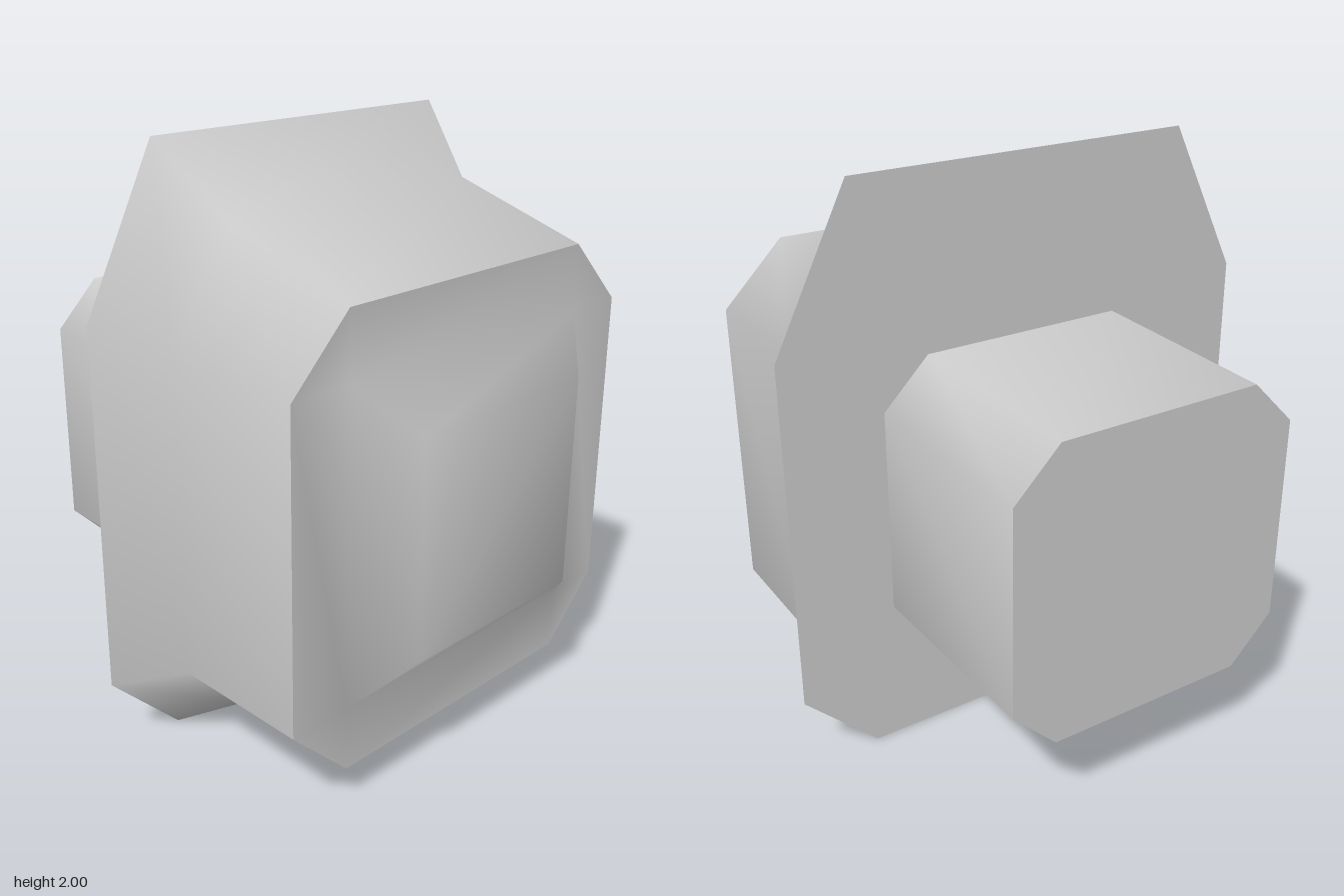
import * as THREE from 'three';
import { mergeVertices } from 'three/addons/utils/BufferGeometryUtils.js';

const MID = 0.88; // height of the shared axis

// Eight-sided ring across the x axis, counter-clockwise seen from +x.
// zIn/zOut: half widths of the flat and of the whole; y0 < y1 < y2 < y3: heights.
function ring(x, zIn, zOut, y0, y1, y2, y3) {
  return [
    [x, y3, -zIn], [x, y3, zIn], [x, y2, zOut], [x, y1, zOut],
    [x, y0, zIn], [x, y0, -zIn], [x, y1, -zOut], [x, y2, -zOut],
  ];
}

// Ring that is symmetric about the axis height.
const evenRing = (x, inner, outer) =>
  ring(x, inner, outer, MID - outer, MID - inner, MID + inner, MID + outer);

// Skin over consecutive rings with smooth normals; optionally close either end.
function loft(rings, closeStart = false, closeEnd = false) {
  const n = 8;
  const index = [];
  for (let r = 0; r < rings.length - 1; r++) {
    for (let i = 0; i < n; i++) {
      const j = (i + 1) % n;
      const a = r * n + i, b = r * n + j, c = (r + 1) * n + j, d = (r + 1) * n + i;
      index.push(a, b, c, a, c, d);
    }
  }
  const last = (rings.length - 1) * n;
  for (let i = 1; i < n - 1; i++) {
    if (closeStart) index.push(0, i + 1, i);
    if (closeEnd) index.push(last, last + i, last + i + 1);
  }
  let geometry = new THREE.BufferGeometry();
  geometry.setAttribute('position', new THREE.Float32BufferAttribute(rings.flat(2), 3));
  geometry.setIndex(index);
  geometry = mergeVertices(geometry);
  geometry.computeVertexNormals();
  return geometry;
}

export function createModel() {
  const group = new THREE.Group();
  const material = new THREE.MeshStandardMaterial({ color: 0xcccccc });
  const add = (name, geometry) => {
    const mesh = new THREE.Mesh(geometry, material);
    mesh.name = name;
    group.add(mesh);
  };

  // Housing: flared flange narrowing to a body with a sloping top
  const flange = ring(-0.08, 0.61, 0.87, 0, 0.26, 1.48, 2);
  const neck = ring(0.16, 0.52, 0.74, 0.145, 0.36, 1.4, 1.77);
  const rim = ring(0.65, 0.52, 0.74, 0.145, 0.36, 1.4, 1.62);
  add('housing', loft([flange, neck, rim]));
  add('flangeBack', loft([flange], true));

  // End face with a raised square boss, smoothly shaded together
  add('endFace', loft([rim, evenRing(0.65, 0.52, 0.52), evenRing(0.795, 0.36, 0.36)], false, true));

  // Slightly tapered stem behind the flange, with its flat end
  const stemEnd = evenRing(-0.8, 0.355, 0.512);
  add('stem', loft([stemEnd, evenRing(-0.08, 0.36, 0.522)]));
  add('stemEnd', loft([stemEnd], true));

  return group;
}
